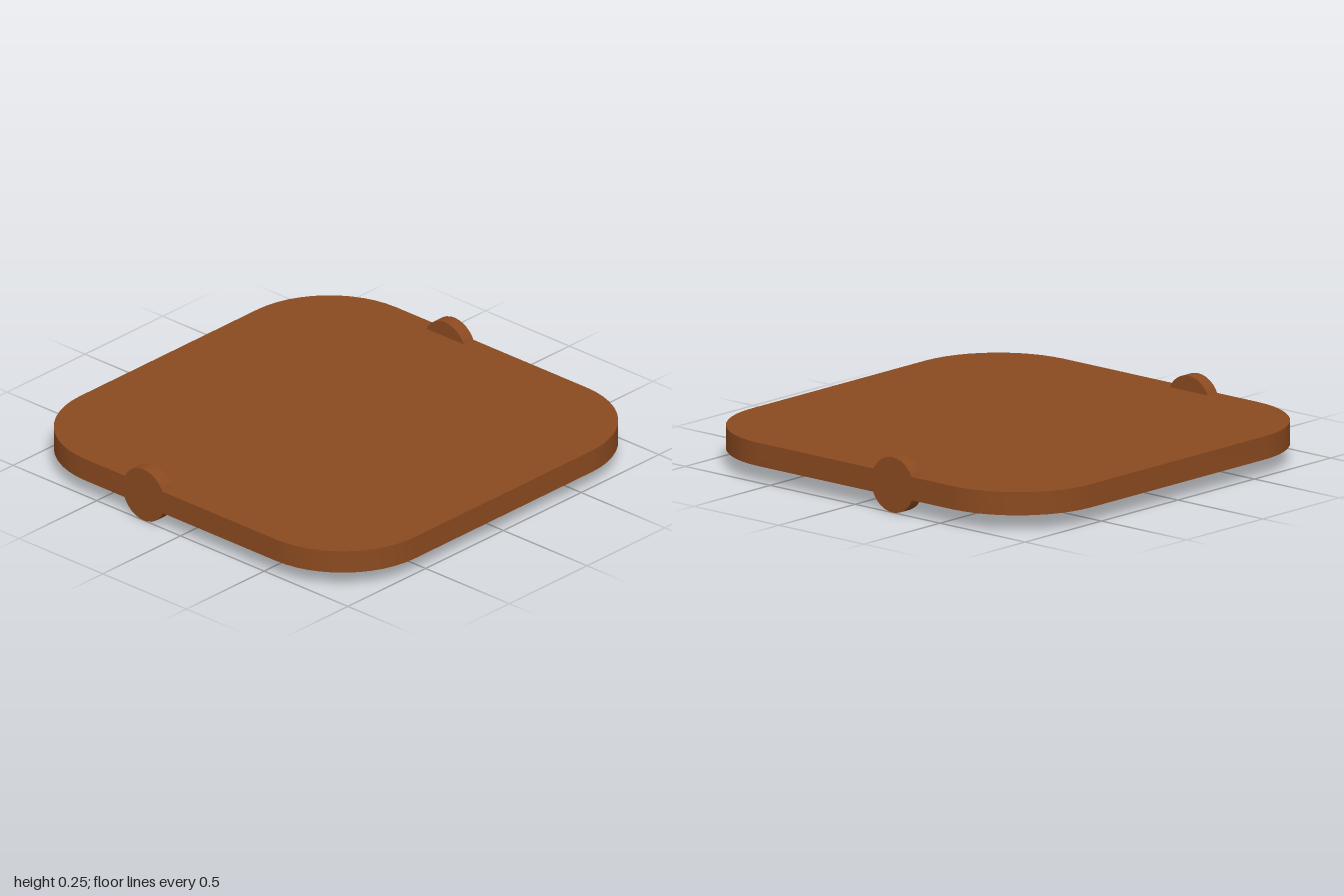
import * as THREE from 'three';
import { toCreasedNormals } from 'three/addons/utils/BufferGeometryUtils.js';

const CORNER = 0.57; // corner arc centre, shared by the outer and inner outlines

// Rounded square outline of the given half width
function outline(path, half) {
  const r = half - CORNER;
  const c = [[1, 1], [-1, 1], [-1, -1], [1, -1]];
  c.forEach(([sx, sy], i) => {
    path.absarc(sx * CORNER, sy * CORNER, r, i * Math.PI / 2, (i + 1) * Math.PI / 2, false);
  });
  path.closePath();
  return path;
}

// Extrude a plan outline upwards between two heights
function slab(shape, y0, y1) {
  const geo = new THREE.ExtrudeGeometry(shape, { depth: y1 - y0, bevelEnabled: false, curveSegments: 6 });
  geo.rotateX(-Math.PI / 2).translate(0, y0, 0);
  return toCreasedNormals(geo, 0.6);
}

export function createModel() {
  const group = new THREE.Group();
  group.name = 'lid';
  const material = new THREE.MeshStandardMaterial({ color: 0x8b4a20 });

  const add = (name, geo) => {
    const mesh = new THREE.Mesh(geo, material);
    mesh.name = name;
    group.add(mesh);
    return mesh;
  };

  // Thin top panel
  add('topPanel', slab(outline(new THREE.Shape(), 1), 0.17, 0.18));

  // Rim hanging below the panel, open underneath
  const rim = outline(new THREE.Shape(), 1);
  rim.holes.push(outline(new THREE.Path(), 0.94));
  add('rim', slab(rim, 0.075, 0.17));

  // Round hinge discs set into both side walls
  for (const side of [1, -1]) {
    const disc = new THREE.CylinderGeometry(0.125, 0.125, 0.062, 32).rotateZ(Math.PI / 2);
    add(side > 0 ? 'leftHinge' : 'rightHinge', disc).position.set(side * 0.969, 0.125, -0.22);
  }
  return group;
}
